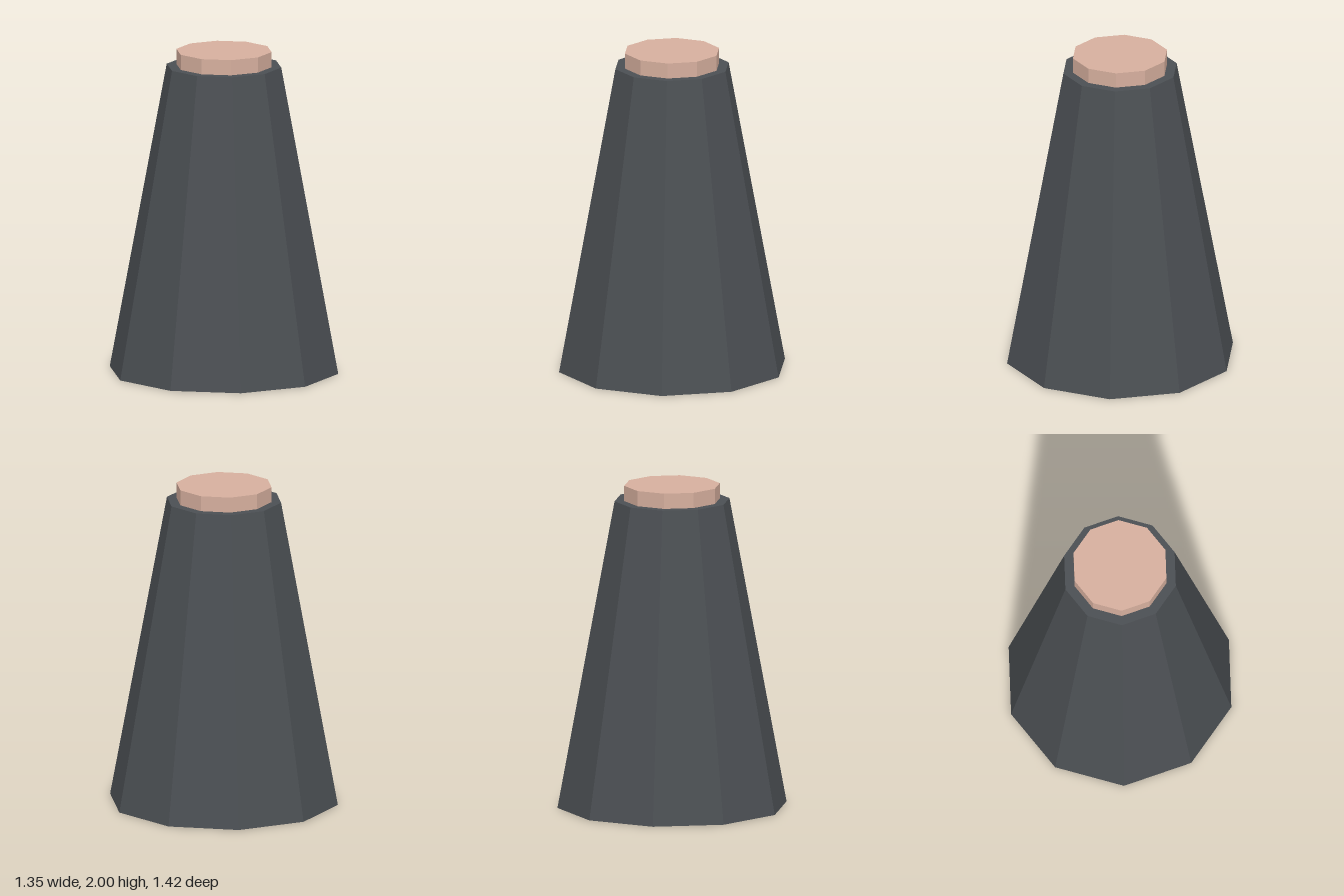
import * as THREE from 'three';

const SIDES = 10;

export function createModel() {
  const group = new THREE.Group();
  group.name = 'taperedPost';

  const slate = new THREE.MeshStandardMaterial({ color: 0x4b4f53 });
  slate.name = 'slate grey';
  const peach = new THREE.MeshStandardMaterial({ color: 0xd6af9e });
  peach.name = 'pale peach';

  // Ten-sided frustum standing from y0 to y1, with a corner facing the front
  function addFrustum(name, bottomRadius, topRadius, y0, y1, material) {
    const geometry = new THREE.CylinderGeometry(topRadius, bottomRadius, y1 - y0, SIDES).toNonIndexed();
    geometry.computeVertexNormals(); // flat facets
    const mesh = new THREE.Mesh(geometry, material);
    mesh.name = name;
    mesh.position.y = (y0 + y1) / 2;
    group.add(mesh);
  }

  // Tapered body and the short disc on top
  addFrustum('body', 0.71, 0.356, 0, 1.905, slate);
  addFrustum('topDisc', 0.296, 0.296, 1.905, 2, peach);

  return group;
}
